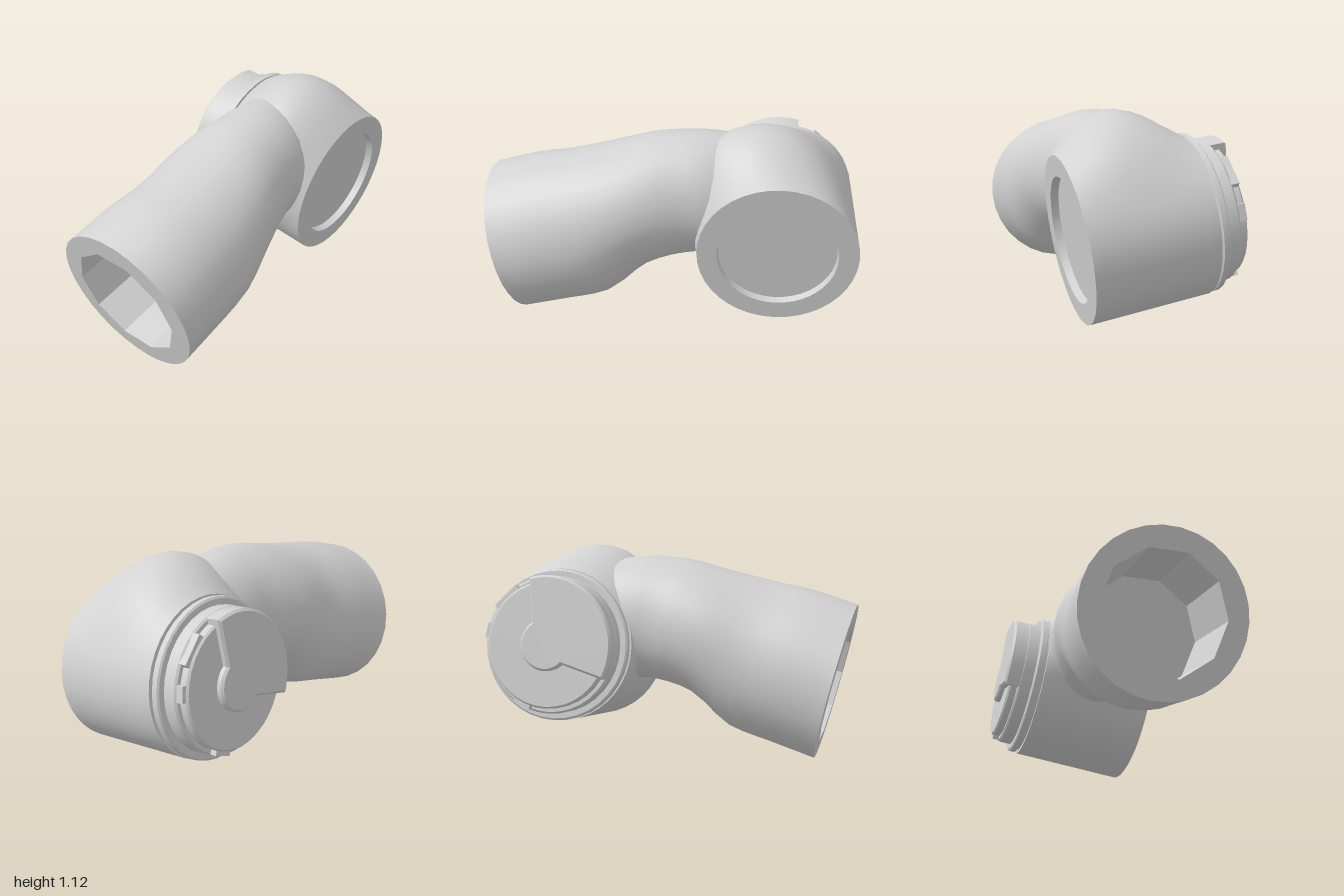
import * as THREE from 'three';
import { toCreasedNormals } from 'three/addons/utils/BufferGeometryUtils.js';

const STEPS = 30;

// One closed ring; sides > 0 gives a polygon instead of an ellipse
function ring(cx, cy, z, rx, ry, tilt, sides = 0) {
  const points = [];
  for (let j = 0; j < STEPS; j++) {
    const a = (j / STEPS) * Math.PI * 2;
    const w = sides ? (Math.PI * 2) / sides : 0;
    const k = sides ? Math.cos(w / 2) / Math.cos((a % w) - w / 2) : 1;
    const dx = rx * k * Math.cos(a);
    const dy = ry * k * Math.sin(a);
    points.push([cx + dx, cy + dy, z + tilt * (0.12 * dx + 0.24 * dy)]);
  }
  return points;
}

// Skin between successive rings
function loft(rings) {
  const index = [];
  for (let i = 0; i < rings.length - 1; i++) {
    for (let j = 0; j < STEPS; j++) {
      const n = (j + 1) % STEPS;
      const a = i * STEPS + j, b = i * STEPS + n;
      const c = a + STEPS, d = b + STEPS;
      index.push(a, c, b, b, c, d);
    }
  }
  const g = new THREE.BufferGeometry();
  g.setAttribute('position', new THREE.Float32BufferAttribute(rings.flat(2), 3));
  g.setIndex(index);
  return g;
}

// Solid of revolution about z from [radius, z] points
function turn(profile, sides) {
  const g = new THREE.LatheGeometry(profile.map(p => new THREE.Vector2(p[0], p[1])), sides);
  return g.rotateX(Math.PI / 2);
}

export function createModel() {
  const model = new THREE.Group();
  model.name = 'elbowJoint';
  const grey = new THREE.MeshStandardMaterial({ color: 0xd2d2d2 });
  grey.name = 'light grey';

  // Soft surfaces with sharp rims
  function add(parent, name, geometry) {
    const mesh = new THREE.Mesh(toCreasedNormals(geometry, 0.5), grey);
    mesh.name = name;
    parent.add(mesh);
  }

  // Arm tube: cx, cy, z, rx, ry, tilt from the open end into the barrel
  const stations = [
    [-0.05, 0.41, 0.89, 0.415, 0.41, 1],
    [-0.01, 0.48, 0.66, 0.405, 0.412, 1],
    [0.025, 0.54, 0.43, 0.388, 0.4, 1],
    [0.035, 0.66, 0.2, 0.362, 0.338, 1],
    [0.045, 0.715, 0, 0.318, 0.335, 1],
    [0.06, 0.722, -0.2, 0.295, 0.345, 0.7],
    [0.05, 0.69, -0.4, 0.25, 0.35, 0.3],
  ];
  const centres = new THREE.CatmullRomCurve3(stations.map(s => new THREE.Vector3(s[0], s[1], s[2])));
  const sizes = new THREE.CatmullRomCurve3(stations.map(s => new THREE.Vector3(s[3], s[4], s[5])));
  const rings = [
    // Ten-sided socket in the open end
    ring(0, 0.495, 0.47, 0, 0, 1, 10),
    ring(0, 0.495, 0.47, 0.31, 0.305, 1, 10),
    ring(-0.055, 0.405, 0.89, 0.315, 0.31, 1, 10),
  ];
  const cuts = 18;
  for (let i = 0; i <= cuts; i++) {
    const c = centres.getPoint(i / cuts);
    const s = sizes.getPoint(i / cuts);
    rings.push(ring(c.x, c.y, c.z, s.x, s.y, s.z));
  }
  add(model, 'armTube', loft(rings));

  // Cross joint: local x forward, y up, z outward towards the cap
  const out = new THREE.Vector3(-1, 0.138, -0.1).normalize();
  const forward = new THREE.Vector3(0, 1, 0).cross(out).normalize();
  const up = out.clone().cross(forward);
  const joint = new THREE.Group();
  joint.name = 'crossJoint';
  joint.quaternion.setFromRotationMatrix(new THREE.Matrix4().makeBasis(forward, up, out));
  joint.position.set(0.4, 0.512, -0.53);
  model.add(joint);

  // Barrel with a shallow recess in its open end
  const length = 0.62;
  const profile = [[0, 0.04], [0.31, 0.04], [0.315, 0]];
  for (let i = 0; i <= 12; i++) profile.push([0.42 - 0.01 * (i / 12), (length * i) / 12]);
  profile.push([0.38, length]);
  const barrel = turn(profile, 40);

  // Swell the upper front of the barrel so it flows into the arm
  const pos = barrel.attributes.position;
  for (let i = 0; i < pos.count; i++) {
    const x = pos.getX(i), y = pos.getY(i), r = Math.hypot(x, y);
    if (r < 0.4) continue;
    const facing = Math.max(0, Math.cos(Math.atan2(y, x) - 1.08));
    const k = 1 + (0.185 * facing ** 2 * Math.sin((Math.PI * pos.getZ(i)) / length)) / r;
    pos.setXY(i, x * k, y * k);
  }
  add(joint, 'jointBarrel', barrel);

  // Collar and stepped cap
  add(joint, 'collar', turn([
    [0.39, 0.61], [0.39, 0.63], [0.405, 0.635], [0.405, 0.665], [0.395, 0.672], [0.36, 0.672],
  ], 36));
  add(joint, 'capBase', turn([[0.365, 0.66], [0.365, 0.735], [0.355, 0.745], [0.33, 0.745]], 36));
  add(joint, 'capDisc', turn([[0.335, 0.74], [0.335, 0.78], [0.325, 0.79], [0, 0.79]], 36));

  // Raised sector joined to a round hub
  const start = -0.45, end = 1.82;
  const sector = new THREE.Shape();
  sector.absarc(0, 0, 0.35, start, end, false);
  sector.absarc(0, 0, 0.125, end + 0.3, start + Math.PI * 2 - 0.3, false);
  sector.closePath();
  const plate = new THREE.ExtrudeGeometry(sector, {
    depth: 0.12, curveSegments: 18, bevelThickness: 0.012, bevelSize: 0.012, bevelSegments: 1,
  });
  plate.translate(0, 0, 0.692);
  add(joint, 'raisedSector', plate);

  // Locking tabs along the lower rim
  for (const [angle, width] of [[2.35, 0.16], [2.95, 0.08], [4.3, 0.1]]) {
    const tab = new THREE.BoxGeometry(0.05, width, 0.05);
    tab.translate(0.33, 0, 0.755);
    tab.rotateZ(angle);
    add(joint, 'lockingTab', tab);
  }

  return model;
}
